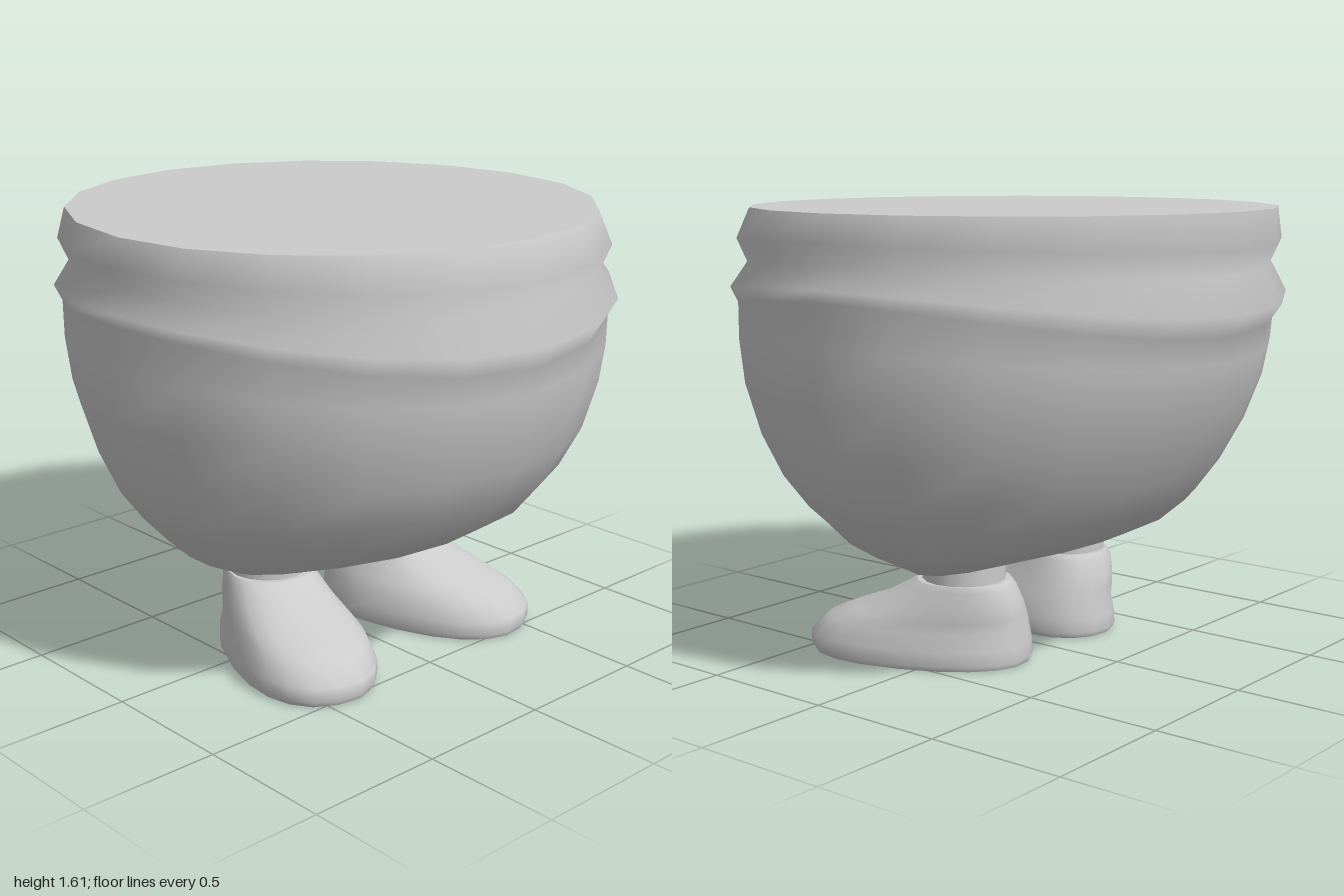
import * as THREE from 'three';

const material = new THREE.MeshStandardMaterial({ color: 0xcccccc });

// Skin stacked loops (bottom to top); point(row, angle) gives [x, y, z], angle 0 faces +z.
// capBottom / capTop add flat, hard-edged ends.
function loft(rows, sides, point, { flip = false, capBottom = false, capTop = false } = {}) {
  const pos = [], idx = [];
  const tri = (a, b, c) => (flip ? idx.push(a, c, b) : idx.push(a, b, c));
  const loop = (row) => {
    const start = pos.length / 3;
    for (let j = 0; j < sides; j++) pos.push(...point(row, (j / sides) * Math.PI * 2));
    return start;
  };
  const starts = rows.map(loop);
  for (let i = 0; i < rows.length - 1; i++) {
    for (let j = 0; j < sides; j++) {
      const k = (j + 1) % sides, a = starts[i], b = starts[i + 1];
      tri(a + j, a + k, b + k);
      tri(a + j, b + k, b + j);
    }
  }
  const cap = (row, up) => {
    const s = loop(row);
    for (let j = 1; j < sides - 1; j++) up ? tri(s, s + j, s + j + 1) : tri(s, s + j + 1, s + j);
  };
  if (capBottom) cap(rows[0], false);
  if (capTop) cap(rows[rows.length - 1], true);
  const geo = new THREE.BufferGeometry();
  geo.setAttribute('position', new THREE.Float32BufferAttribute(pos, 3));
  geo.setIndex(idx);
  geo.computeVertexNormals();
  return geo;
}

function part(name, geometry) {
  const mesh = new THREE.Mesh(geometry, material);
  mesh.name = name;
  return mesh;
}

// Each body loop: side radius, side y, front radius, front y, back radius, back y
const BODY = [
  [0, 0.345, 0, 0.345, 0, 0.345],
  [0.25, 0.33, 0.14, 0.335, 0.17, 0.34],
  [0.5, 0.34, 0.22, 0.37, 0.25, 0.375],
  [0.6, 0.39, 0.42, 0.425, 0.42, 0.425],
  [0.69, 0.45, 0.57, 0.48, 0.555, 0.49],
  [0.77, 0.54, 0.7, 0.565, 0.65, 0.57],
  [0.85, 0.65, 0.8, 0.69, 0.74, 0.69],
  [0.92, 0.81, 0.88, 0.83, 0.835, 0.85],
  [0.975, 1.0, 0.93, 1.0, 0.9, 1.0],
  [0.99, 1.18, 0.95, 1.11, 0.93, 1.11],
  [0.985, 1.33, 0.957, 1.2, 0.945, 1.2],
  [1.0, 1.37, 1.0, 1.275, 1.0, 1.275], // lower ridge
  [0.945, 1.44, 0.93, 1.395, 0.943, 1.4], // groove
  [0.98, 1.515, 0.965, 1.487, 0.98, 1.485], // upper ridge
  [0.94, 1.61, 0.91, 1.61, 0.975, 1.61],
];

function bodyPoint([rx, yx, rf, yf, rb, yb], a) {
  const s = Math.sin(a), c = Math.cos(a);
  const [rz, yz] = c >= 0 ? [rf, yf] : [rb, yb];
  return [rx * s, yx + (yz - yx) * c * c, rz * c];
}

// Each shoe loop: y, heel, toe, half width, sideways offset
const SHOE = [
  [0, -0.23, 0.585, 0.235, -0.03],
  [0.02, -0.24, 0.595, 0.245, -0.03],
  [0.07, -0.235, 0.595, 0.245, -0.03],
  [0.13, -0.225, 0.53, 0.225, -0.03],
  [0.17, -0.22, 0.43, 0.21, -0.02],
  [0.215, -0.21, 0.31, 0.19, -0.01],
  [0.28, -0.185, 0.2, 0.165, 0],
  [0.3, -0.165, 0.165, 0.155, 0],
];
const TOE_OUT = 0.34, FOOT_X = 0.3, FOOT_Z = -0.04;

function shoePoint(side) {
  const blunt = (v) => Math.sign(v) * Math.abs(v) ** 0.88;
  return ([y, heel, toe, w, off], a) => {
    const u = (heel + toe) / 2 + ((toe - heel) / 2) * blunt(Math.cos(a));
    const v = off + w * blunt(Math.sin(a)) * (1 + 0.06 * Math.cos(a));
    const x = FOOT_X + v * Math.cos(TOE_OUT) + u * Math.sin(TOE_OUT);
    return [side * x, y, FOOT_Z - v * Math.sin(TOE_OUT) + u * Math.cos(TOE_OUT)];
  };
}

export function createModel() {
  const model = new THREE.Group();
  model.name = 'roundBodyWithFeet';

  // Bowl-shaped body with the ridged waistband and flat top
  model.add(part('body', loft(BODY, 20, bodyPoint, { capTop: true })));

  // Mirrored legs and shoes
  for (const [side, label] of [[1, 'left'], [-1, 'right']]) {
    const leg = part(label + 'Leg', new THREE.CylinderGeometry(0.15, 0.15, 0.18, 16));
    leg.position.set(side * FOOT_X, 0.34, FOOT_Z);
    const shoe = loft(SHOE, 20, shoePoint(side), { flip: side < 0, capBottom: true, capTop: true });
    model.add(leg, part(label + 'Shoe', shoe));
  }
  return model;
}
